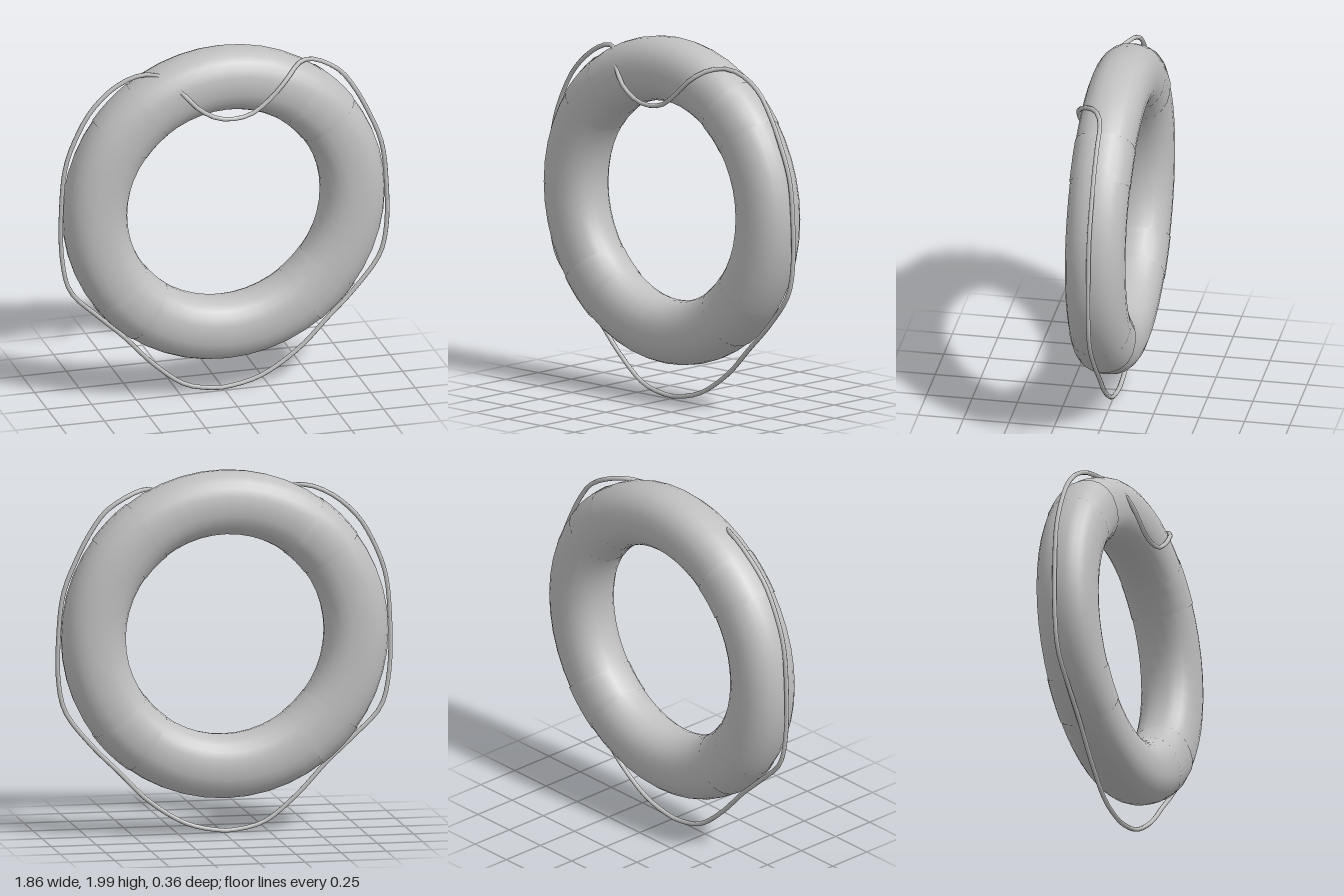
import * as THREE from 'three';
import { mergeVertices } from 'three/addons/utils/BufferGeometryUtils.js';

const RING_RADIUS = 0.725, HALF_WIDTH = 0.175, HALF_DEPTH = 0.162;
const CENTER_Y = 1.1, CENTER_Z = -0.017;

// Torus (or an arc of one) with a slightly squared oval cross-section
function ovalTorus(grow, sides, segments, arc) {
  const g = new THREE.TorusGeometry(RING_RADIUS, HALF_WIDTH, sides, segments, arc);
  const p = g.attributes.position;
  const squared = (t) => Math.sign(t) * Math.pow(Math.abs(t), 2 / 2.25);
  for (let i = 0; i < p.count; i++) {
    const x = p.getX(i), y = p.getY(i), d = Math.hypot(x, y);
    const r = RING_RADIUS + squared((d - RING_RADIUS) / HALF_WIDTH) * (HALF_WIDTH + grow);
    const z = squared(p.getZ(i) / HALF_WIDTH) * (HALF_DEPTH + grow);
    p.setXYZ(i, (x / d) * r, (y / d) * r, z);
  }
  g.deleteAttribute('normal');
  g.deleteAttribute('uv');
  const welded = mergeVertices(g, 1e-4);
  welded.computeVertexNormals();
  return welded;
}

export function createModel() {
  const group = new THREE.Group();
  const grey = new THREE.MeshStandardMaterial({ color: 0xc0c0c0, side: THREE.DoubleSide });
  grey.name = 'light grey';

  const add = (name, geometry) => {
    const mesh = new THREE.Mesh(geometry, grey);
    mesh.name = name;
    group.add(mesh);
    return mesh;
  };

  // Buoyant ring
  add('ring', ovalTorus(0, 24, 48, Math.PI * 2)).position.set(-0.004, CENTER_Y, CENTER_Z);

  // Four thin straps wrapped around the ring on the diagonals
  const arc = 0.3;
  for (let i = 0; i < 4; i++) {
    const band = add('strap', ovalTorus(0.004, 20, 4, arc));
    band.position.set(-0.004, CENTER_Y, CENTER_Z);
    band.rotation.z = Math.PI / 4 + (i * Math.PI) / 2 - arc / 2;
  }

  // Grab rope: droops over the front at the top, hangs free at the bottom
  const z = -0.014;
  const path = [
    [0, 1.652, 0.168], [0.1, 1.67, 0.168], [0.2, 1.74, 0.167], [0.3, 1.835, 0.15],
    [0.36, 1.88, 0.1], [0.43, 1.898, 0.035], [0.52, 1.875, -0.005],
    [0.65, 1.795, z], [0.73, 1.69, z], [0.81, 1.54, z], [0.885, 1.35, z], [0.912, 1.12, z],
    [0.912, 0.86, z], [0.875, 0.7, z], [0.73, 0.51, z], [0.58, 0.36, z], [0.42, 0.2, z],
    [0.2, 0.062, z], [0, 0.019, z], [-0.06, 0.021, z], [-0.22, 0.06, z], [-0.4, 0.2, z],
    [-0.57, 0.38, z], [-0.71, 0.51, z], [-0.865, 0.67, z], [-0.912, 0.86, z],
    [-0.916, 1.18, z], [-0.89, 1.41, z], [-0.82, 1.59, z], [-0.74, 1.72, z],
    [-0.62, 1.83, z], [-0.5, 1.89, 0], [-0.41, 1.9, 0.025], [-0.34, 1.87, 0.085],
    [-0.27, 1.81, 0.14], [-0.2, 1.735, 0.165], [-0.1, 1.67, 0.168],
  ].map((a) => new THREE.Vector3(...a));
  const curve = new THREE.CatmullRomCurve3(path, true, 'centripetal');
  add('grabRope', new THREE.TubeGeometry(curve, 110, 0.0125, 8, true));

  return group;
}
